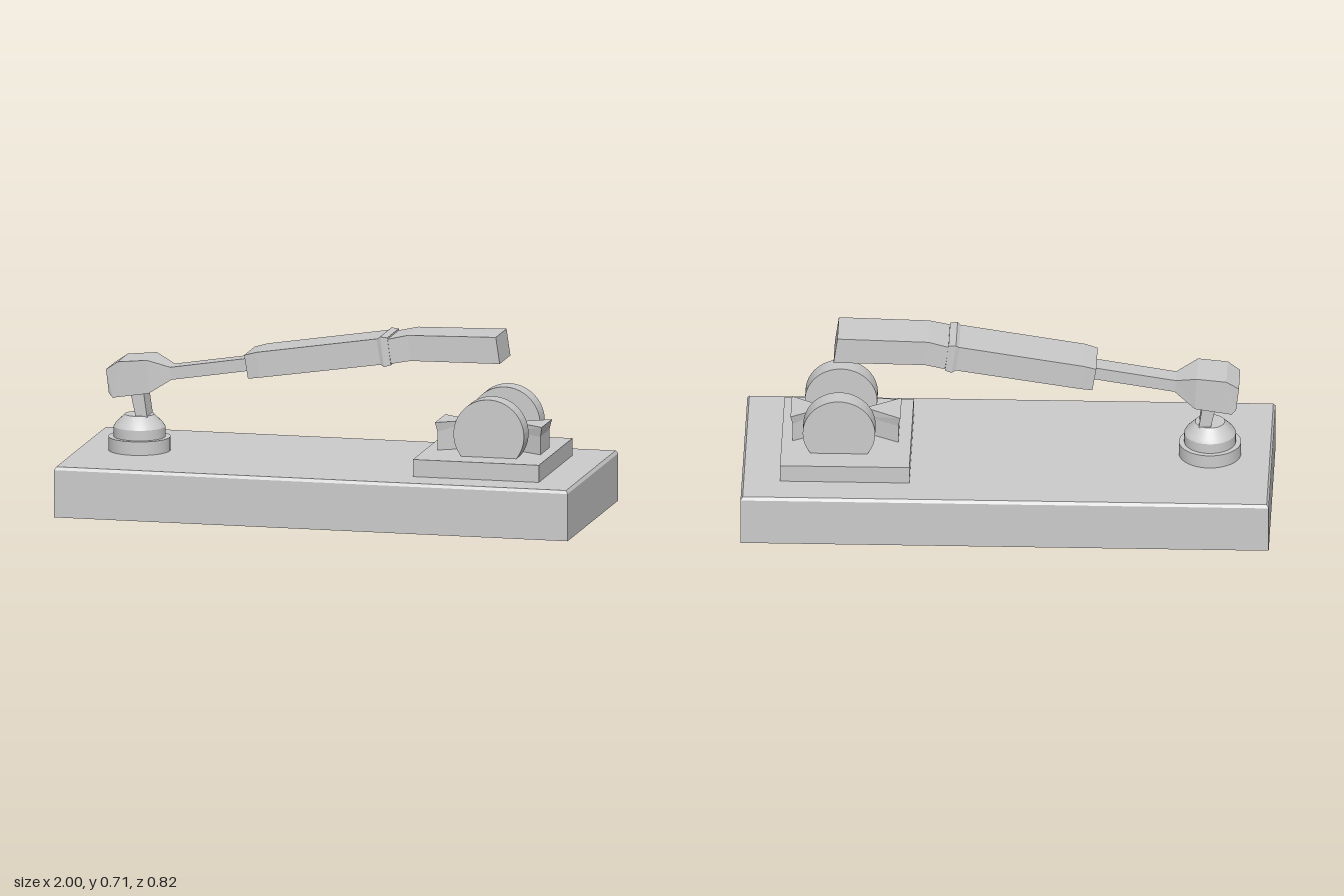
import * as THREE from 'three';
import { toCreasedNormals } from 'three/addons/utils/BufferGeometryUtils.js';

const material = new THREE.MeshStandardMaterial({ color: 0xcccccc });

// Skin a list of matching rings (clockwise seen from the far end) and cap both ends.
function loft(rings) {
  const pos = [];
  const tri = (...pts) => pts.forEach((p) => pos.push(...p));
  const n = rings[0].length;
  for (let i = 0; i < rings.length - 1; i++) {
    for (let j = 0; j < n; j++) {
      const k = (j + 1) % n;
      const a = rings[i][j], b = rings[i][k], c = rings[i + 1][k], d = rings[i + 1][j];
      tri(a, d, b);
      tri(d, c, b);
    }
  }
  const first = rings[0], last = rings[rings.length - 1];
  for (let j = 1; j < n - 1; j++) {
    tri(first[0], first[j], first[j + 1]);
    tri(last[0], last[j + 1], last[j]);
  }
  const g = new THREE.BufferGeometry();
  g.setAttribute('position', new THREE.Float32BufferAttribute(pos, 3));
  g.computeVertexNormals();
  return g;
}

// Section across the arm: top point, bottom point, half width.
const section = ([xt, yt, xb, yb, w]) => [[xt, yt, w], [xt, yt, -w], [xb, yb, -w], [xb, yb, w]];

// Horizontal rectangle: centre x, height, half sizes.
const rect = ([x, y, hx, hz]) => [[x - hx, y, -hz], [x + hx, y, -hz], [x + hx, y, hz], [x - hx, y, hz]];

export function createModel() {
  const model = new THREE.Group();
  const add = (name, geometry, parent = model) => {
    const mesh = new THREE.Mesh(geometry, material);
    mesh.name = name;
    parent.add(mesh);
    return mesh;
  };

  // Base slab with a small bevel round its top
  add('baseSlab', loft([[0, 0, 1, 0.41], [0, 0.182, 1, 0.41], [0, 0.194, 0.992, 0.402]].map(rect)));

  // Pivot foot
  const profile = [[0, 0.19], [0.118, 0.19], [0.118, 0.246], [0.098, 0.246], [0.098, 0.285],
    [0.09, 0.298], [0.056, 0.332], [0, 0.332]].map(([r, y]) => new THREE.Vector2(r, y));
  add('pivotFoot', toCreasedNormals(new THREE.LatheGeometry(profile, 40), 0.4)).position.x = -0.765;

  // Leaning stem
  add('pivotStem', loft([[-0.745, 0.32, 0.022, 0.046], [-0.765, 0.43, 0.026, 0.046]].map(rect)));

  // Arm
  const arm = new THREE.Group();
  arm.name = 'arm';
  model.add(arm);
  const armParts = {
    counterweight: [
      [-0.877, 0.513, -0.866, 0.422, 0.076], [-0.83, 0.545, -0.85, 0.406, 0.083],
      [-0.717, 0.556, -0.71, 0.428, 0.083], [-0.636, 0.524, -0.632, 0.476, 0.037]],
    neck: [[-0.637, 0.524, -0.632, 0.476, 0.037], [-0.32, 0.575, -0.315, 0.527, 0.037]],
    forearm: [
      [-0.337, 0.594, -0.322, 0.504, 0.086], [-0.289, 0.608, -0.275, 0.511, 0.09],
      [0.19, 0.683, 0.205, 0.584, 0.09]],
    collar: [
      [0.18, 0.68, 0.195, 0.583, 0.09], [0.194, 0.691, 0.21, 0.575, 0.096],
      [0.222, 0.688, 0.236, 0.583, 0.093]],
    head: [
      [0.222, 0.682, 0.236, 0.588, 0.091], [0.3, 0.7, 0.311, 0.602, 0.087],
      [0.643, 0.708, 0.658, 0.606, 0.087]],
  };
  for (const [name, rows] of Object.entries(armParts)) add(name, loft(rows.map(section)), arm);

  // Cradle plate
  add('cradlePlate', new THREE.BoxGeometry(0.49, 0.07, 0.546)).position.set(0.61, 0.225, 0);

  // Pair of discs cut flat where they meet the plate
  const radius = 0.137, centreY = 0.345;
  const cut = Math.asin((centreY - 0.258) / radius);
  const disc = new THREE.Shape();
  disc.absarc(0, 0, radius, -cut, Math.PI + cut, false);
  disc.closePath();
  const discGeometry = toCreasedNormals(
    new THREE.ExtrudeGeometry(disc, { depth: 0.076, bevelEnabled: false, curveSegments: 40 }), 0.5);
  for (const [name, z] of [['leftDisc', 0.093], ['rightDisc', -0.169]]) {
    add(name, discGeometry).position.set(0.635, centreY, z);
  }

  // Low saddle between the discs
  add('saddle', loft([
    [0.635, 0.255, 0.065, 0.096], [0.635, 0.28, 0.065, 0.096], [0.635, 0.31, 0.045, 0.07],
  ].map(rect)));

  // Two wedge blocks pointing inward, flared at the top
  const wedge = loft([[0.2, 0.255, 0.072], [0.2, 0.33, 0.072], [0.208, 0.368, 0.083]]
    .map(([x, y, w]) => [[0.072, y, 0], [x, y, -w], [x, y, w]]));
  ['outerWedge', 'innerWedge'].forEach((name, i) => {
    const mesh = add(name, wedge);
    mesh.position.x = 0.613;
    mesh.rotation.y = i * Math.PI;
  });

  return model;
}
